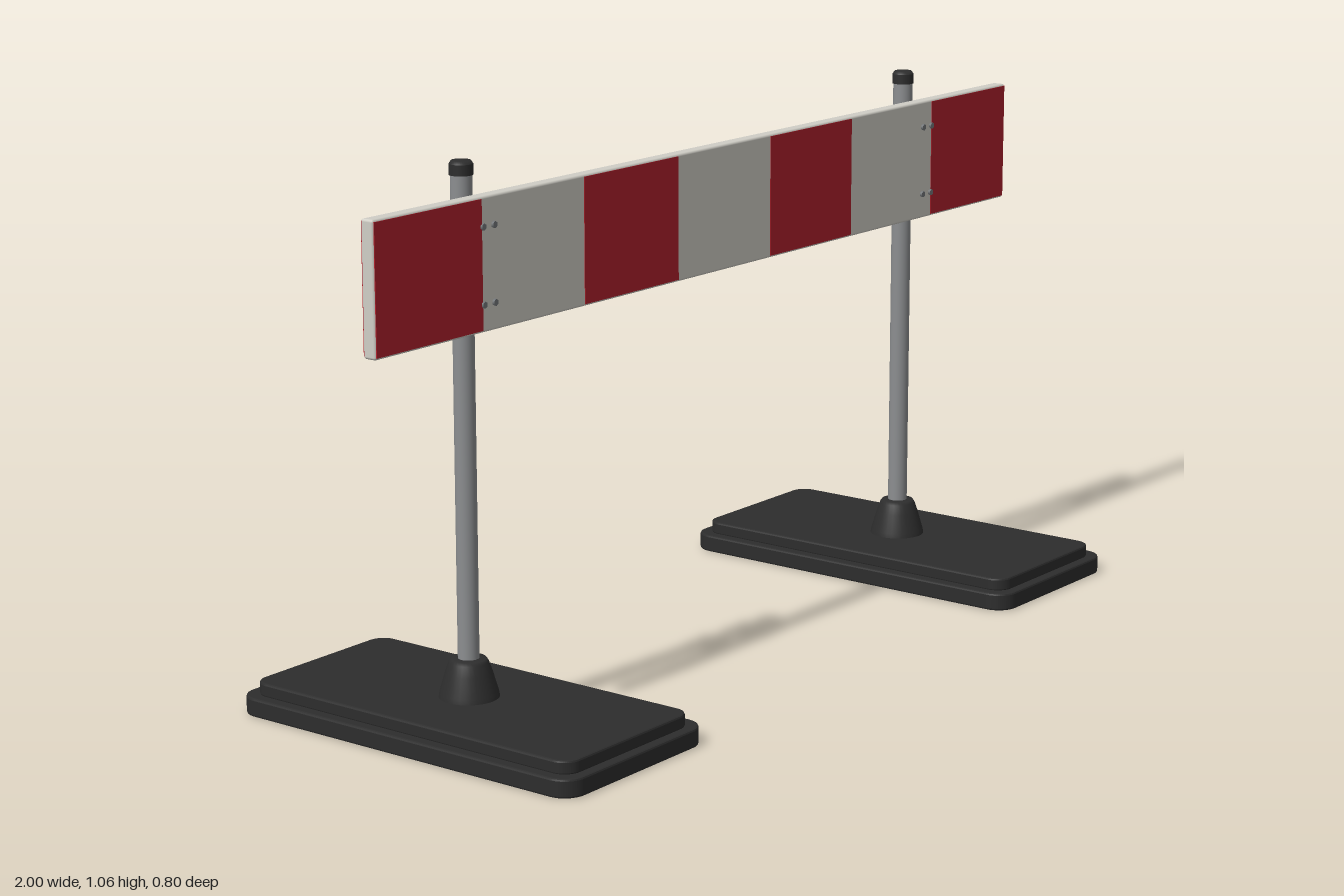
import * as THREE from 'three';
import { RoundedBoxGeometry } from 'three/addons/geometries/RoundedBoxGeometry.js';

const material = (name, color) => {
  const m = new THREE.MeshStandardMaterial({ color });
  m.name = name;
  return m;
};

export function createModel() {
  const white = material('board white', 0xd0cec6);
  const red = material('stripe red', 0xb0202c);
  const steel = material('post steel', 0x8c8e90);
  const bracket = material('bracket grey', 0x74787b);
  const rubber = material('black rubber', 0x2d2d2d);

  const model = new THREE.Group();
  model.name = 'barrier';
  const add = (parent, name, geometry, mat, x = 0, y = 0, z = 0) => {
    const mesh = new THREE.Mesh(geometry, mat);
    mesh.name = name;
    mesh.position.set(x, y, z);
    parent.add(mesh);
    return mesh;
  };

  // Flat slab with rounded corners and a small bevel, lying on its bottom at y = 0
  const slab = (w, d, h, r, bevel) => {
    const x = w / 2 - bevel, y = d / 2 - bevel;
    const s = new THREE.Shape();
    s.moveTo(-x + r, -y);
    s.lineTo(x - r, -y);
    s.absarc(x - r, -y + r, r, -Math.PI / 2, 0);
    s.absarc(x - r, y - r, r, 0, Math.PI / 2);
    s.absarc(-x + r, y - r, r, Math.PI / 2, Math.PI);
    s.absarc(-x + r, -y + r, r, Math.PI, Math.PI * 1.5);
    return new THREE.ExtrudeGeometry(s, {
      depth: h - 2 * bevel, bevelThickness: bevel, bevelSize: bevel, bevelSegments: 2, curveSegments: 8,
    }).translate(0, 0, bevel).rotateX(-Math.PI / 2);
  };

  // Board with red panels on both faces
  const boardY = 0.878, boardZ = 0.047;
  add(model, 'board', new RoundedBoxGeometry(2, 0.246, 0.028, 3, 0.005), white, 0, boardY, boardZ);
  for (const [x0, x1] of [[-0.997, -0.717], [-0.43, -0.148], [0.148, 0.425], [0.717, 0.997]]) {
    for (const side of [-1, 1]) {
      add(model, 'redStripe', new THREE.BoxGeometry(x1 - x0, 0.238, 0.002), red,
        (x0 + x1) / 2, boardY, boardZ + side * 0.0142);
    }
  }

  // Rubber collar and end cap profiles
  const collar = new THREE.LatheGeometry([
    [0.057, 0.058], [0.055, 0.07], [0.044, 0.108], [0.037, 0.128], [0.033, 0.134], [0.019, 0.135],
  ].map(([r, y]) => new THREE.Vector2(r, y)), 32);
  const cap = new THREE.LatheGeometry([
    [0, 1.032], [0.022, 1.032], [0.022, 1.032], [0.022, 1.052], [0.022, 1.052], [0.018, 1.058], [0, 1.06],
  ].map(([r, y]) => new THREE.Vector2(r, y)), 32);

  const bolt = (length) => new THREE.CylinderGeometry(0.0065, 0.0065, length, 6).rotateX(Math.PI / 2);

  for (const side of [-1, 1]) {
    const stand = new THREE.Group();
    stand.name = side > 0 ? 'leftStand' : 'rightStand';
    stand.position.x = side * 0.7;
    model.add(stand);

    add(stand, 'footPlate', slab(0.4, 0.8, 0.036, 0.04, 0.004), rubber);
    add(stand, 'footStep', slab(0.356, 0.76, 0.027, 0.03, 0.004), rubber, 0, 0.034);
    add(stand, 'collar', collar, rubber);
    add(stand, 'post', new THREE.CylinderGeometry(0.02, 0.02, 0.98, 32), steel, 0, 0.55);
    add(stand, 'postCap', cap, rubber);

    // Two clamps bolt the board to the post
    for (const y of [0.806, 0.947]) {
      const clamp = new THREE.Group();
      clamp.name = 'clamp';
      clamp.position.y = y;
      stand.add(clamp);
      add(clamp, 'band', new THREE.CylinderGeometry(0.0245, 0.0245, 0.036, 24), bracket);
      add(clamp, 'mountPlate', new THREE.BoxGeometry(0.05, 0.036, 0.012), bracket, 0, 0, 0.027);
      for (const ear of [-1, 1]) {
        add(clamp, 'ear', new RoundedBoxGeometry(0.018, 0.032, 0.042, 2, 0.003), bracket, ear * 0.024, 0, 0);
        add(clamp, 'rearBolt', bolt(0.012), bracket, ear * 0.024, 0, -0.025);
        add(clamp, 'frontBolt', bolt(0.008), bracket, ear * 0.015, 0, 0.062);
      }
    }
  }
  return model;
}
